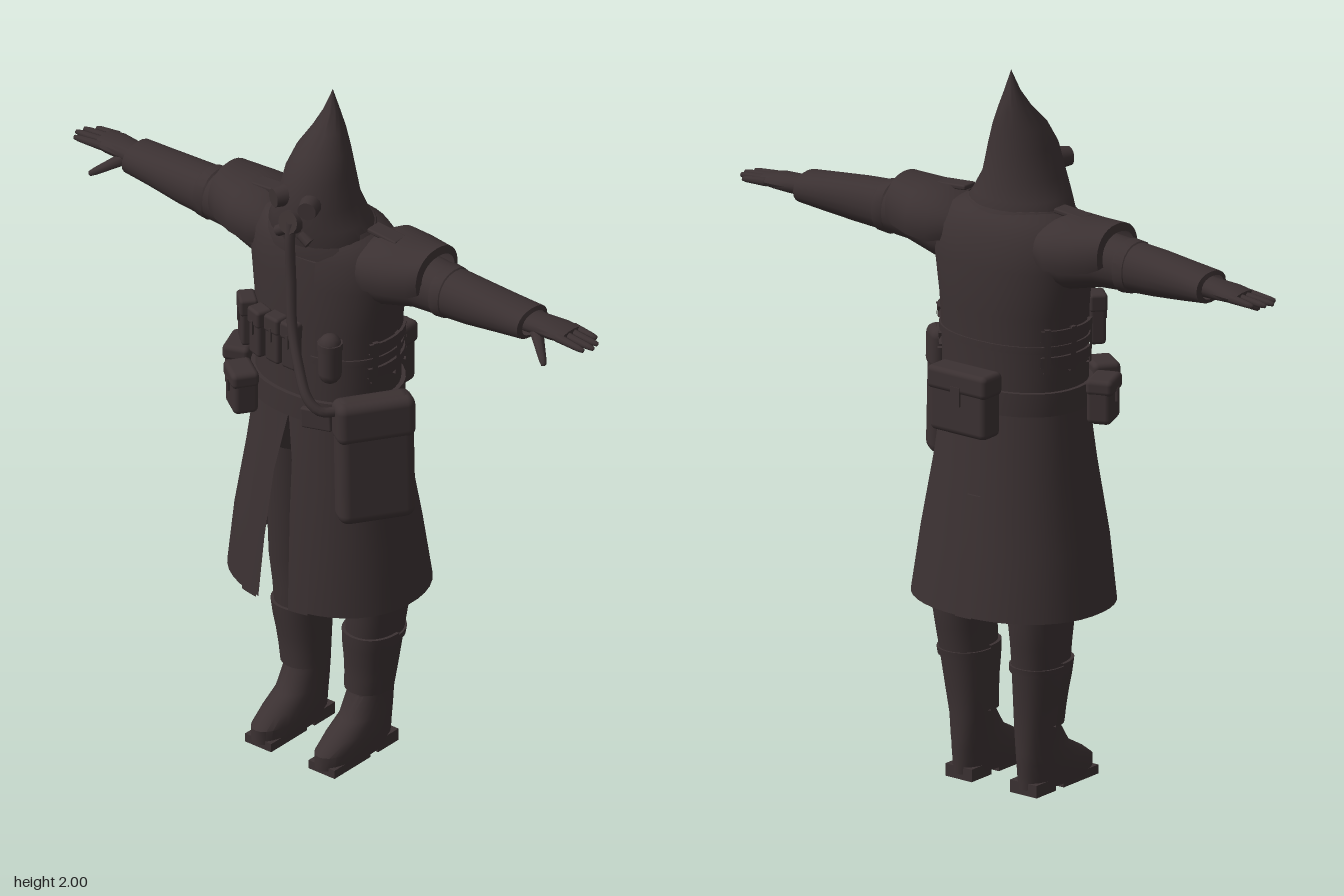
import * as THREE from 'three';
import { toCreasedNormals } from 'three/addons/utils/BufferGeometryUtils.js';
import { RoundedBoxGeometry } from 'three/addons/geometries/RoundedBoxGeometry.js';

const cloth = new THREE.MeshStandardMaterial({ color: 0x3b3132, side: THREE.DoubleSide });
cloth.name = 'dark brown cloth';

function add(parent, name, geo, pos = [0, 0, 0], rot = [0, 0, 0]) {
  const mesh = new THREE.Mesh(geo, cloth);
  mesh.name = name;
  mesh.position.set(...pos);
  mesh.rotation.set(...rot);
  parent.add(mesh);
  return mesh;
}

// Skin over cross-sections. Row: [along, centreA, centreZ, radiusA, radiusZ, front gap angle].
function loft(rows, { axis = 'y', n = 2.2, seg = 28, from = 0, to = Math.PI * 2, crease = 0.7 } = {}) {
  const pos = [], idx = [];
  const pw = v => Math.sign(v) * Math.abs(v) ** (2 / n);
  for (const [t, a, z, ra, rz, gap = 0] of rows) {
    for (let i = 0; i <= seg; i++) {
      const th = from + gap + (to - from - 2 * gap) * i / seg;
      const p = a + ra * pw(Math.sin(th)), q = z + rz * pw(Math.cos(th));
      pos.push(...(axis === 'y' ? [p, t, q] : [t, p, q]));
    }
  }
  for (let j = 0; j < rows.length - 1; j++) {
    for (let i = 0; i < seg; i++) {
      const a = j * (seg + 1) + i, b = a + 1, c = a + seg + 1, d = c + 1;
      idx.push(...(axis === 'y' ? [a, b, d, a, d, c] : [a, d, b, a, c, d]));
    }
  }
  const g = new THREE.BufferGeometry();
  g.setAttribute('position', new THREE.Float32BufferAttribute(pos, 3));
  g.setIndex(idx);
  return toCreasedNormals(g, crease);
}

// Section of a profile at height y, grown by d
function sectionAt(rows, y, d) {
  let k = 0;
  while (k < rows.length - 2 && rows[k + 1][0] < y) k++;
  const [r, s] = [rows[k], rows[k + 1]];
  const f = (y - r[0]) / (s[0] - r[0]);
  const m = i => r[i] + (s[i] - r[i]) * f;
  return [y, m(1), m(2), m(3) + d, m(4) + d];
}

// Raised strip that hugs a profile
function band(rows, y0, y1, from, to, d, seg = 12, steps = 4) {
  const out = [sectionAt(rows, y0, 0)];
  for (let i = 0; i <= steps; i++) out.push(sectionAt(rows, y0 + (y1 - y0) * i / steps, d));
  out.push(sectionAt(rows, y1, 0));
  return loft(out, { from, to, seg });
}

// Tapered rod between two points with a rounded tip
function rod(parent, name, p, q, r0, r1) {
  const a = new THREE.Vector3(...p), b = new THREE.Vector3(...q), L = a.distanceTo(b);
  const pts = [[0, 0], [r0, 0], [r1, L * 0.8], [r1 * 0.7, L * 0.96], [0, L]].map(v => new THREE.Vector2(...v));
  const m = add(parent, name, new THREE.LatheGeometry(pts, 8), p);
  m.quaternion.setFromUnitVectors(new THREE.Vector3(0, 1, 0), b.sub(a).normalize());
}

const coat = [
  [0.52, 0, -0.003, 0.285, 0.238], [0.7, 0, 0.003, 0.262, 0.218], [0.9, 0, 0.005, 0.228, 0.188],
  [1.08, 0, 0.005, 0.205, 0.165], [1.2, 0, 0.003, 0.208, 0.16], [1.35, 0, 0, 0.215, 0.158],
  [1.48, 0, -0.003, 0.232, 0.158], [1.56, 0, 0, 0.225, 0.145], [1.61, 0, 0.005, 0.185, 0.125],
  [1.645, 0, 0.01, 0.1, 0.08], [1.65, 0, 0.01, 0, 0],
];
const leg = [
  [0.012, 0.11, 0.035, 0, 0], [0.015, 0.11, 0.035, 0.053, 0.142], [0.055, 0.11, 0.034, 0.057, 0.142],
  [0.085, 0.11, 0.012, 0.056, 0.122], [0.12, 0.11, -0.02, 0.054, 0.09], [0.18, 0.11, -0.042, 0.055, 0.068],
  [0.26, 0.116, -0.045, 0.062, 0.072], [0.35, 0.122, -0.042, 0.07, 0.085], [0.43, 0.127, -0.047, 0.074, 0.092],
  [0.52, 0.13, -0.05, 0.08, 0.105], [0.9, 0.11, -0.02, 0.09, 0.11],
];

function pouch(parent, name, size, pos, turn) {
  const g = new THREE.Group();
  g.name = name;
  g.position.set(...pos);
  g.rotation.y = turn;
  const [w, h, d] = size;
  add(g, 'pouchBody', new RoundedBoxGeometry(w, h, d, 2, Math.min(w, d) * 0.22));
  add(g, 'pouchFlap', new RoundedBoxGeometry(w * 1.06, h * 0.36, d * 1.1, 2, d * 0.2), [0, h * 0.33, 0.002]);
  add(g, 'pouchTab', new THREE.BoxGeometry(w * 0.16, h * 0.3, 0.008), [0, h * 0.12, d * 0.55]);
  parent.add(g);
}

function buildSide(side) {
  const g = new THREE.Group();
  g.name = side > 0 ? 'leftLimbs' : 'rightLimbs';
  g.scale.x = side;

  // Leg, boot and shin guard
  add(g, 'legAndBoot', loft(leg));
  add(g, 'shinGuard', band(leg, 0.19, 0.375, -1.6, 1.6, 0.009, 16));
  add(g, 'bootCuff', band(leg, 0.345, 0.365, 0, Math.PI * 2, 0.006, 24));
  add(g, 'heel', new THREE.BoxGeometry(0.09, 0.035, 0.085), [0.11, 0.0175, -0.06]);
  add(g, 'sole', new THREE.BoxGeometry(0.09, 0.025, 0.15), [0.11, 0.0125, 0.09]);

  // Sleeve, glove and shoulder pad
  add(g, 'sleeve', loft([
    [0.12, 1.51, -0.005, 0.08, 0.1], [0.22, 1.515, -0.008, 0.085, 0.09], [0.32, 1.53, -0.01, 0.074, 0.075],
    [0.42, 1.53, -0.01, 0.068, 0.068], [0.5, 1.53, -0.012, 0.063, 0.066], [0.6, 1.531, -0.018, 0.053, 0.063],
    [0.685, 1.532, -0.022, 0.043, 0.064], [0.69, 1.532, -0.022, 0.032, 0.048]], { axis: 'x', seg: 20 }));
  add(g, 'sleeveFold', loft([
    [0.385, 1.53, -0.01, 0.066, 0.066], [0.395, 1.53, -0.01, 0.074, 0.072],
    [0.425, 1.53, -0.01, 0.071, 0.07], [0.435, 1.53, -0.01, 0.06, 0.06]], { axis: 'x', seg: 20 }));
  add(g, 'palm', loft([
    [0.66, 1.533, -0.025, 0.028, 0.04], [0.72, 1.533, -0.03, 0.025, 0.042], [0.77, 1.534, -0.033, 0.021, 0.047],
    [0.81, 1.533, -0.036, 0.015, 0.043], [0.815, 1.533, -0.036, 0, 0]], { axis: 'x', seg: 14 }));
  [[-0.07, 0.868], [-0.048, 0.893], [-0.025, 0.9], [-0.002, 0.885]].forEach(([z, x]) =>
    rod(g, 'finger', [0.79, 1.533, z], [x, 1.527, z * 1.1 + 0.004], 0.013, 0.009));
  rod(g, 'thumb', [0.715, 1.52, -0.005], [0.79, 1.47, 0.055], 0.019, 0.011);
  add(g, 'shoulderPad', loft([
    [0.15, 1.54, -0.01, 0.07, 0.105], [0.2, 1.54, -0.014, 0.096, 0.124], [0.27, 1.543, -0.015, 0.092, 0.118],
    [0.33, 1.55, -0.015, 0.088, 0.1], [0.36, 1.56, -0.015, 0.08, 0.088], [0.365, 1.558, -0.015, 0.06, 0.07]],
  { axis: 'x', from: -0.35, to: Math.PI + 0.35, seg: 18 }));
  add(g, 'shoulderTab', new RoundedBoxGeometry(0.1, 0.014, 0.05, 2, 0.005), [0.2, 1.632, 0], [0, 0, -0.08]);

  // Webbing loops on the flank
  for (const y of [1.215, 1.29]) add(g, 'flankStrap', band(coat, y, y + 0.03, 1.15, 2.25, 0.008, 8, 1));
  for (const a of [1.2, 1.65, 2.1]) add(g, 'strapStay', band(coat, 1.2, 1.325, a, a + 0.1, 0.011, 2));

  // Goggle
  add(g, 'goggle', new THREE.CylinderGeometry(0.026, 0.031, 0.04, 14), [0.05, 1.722, 0.146], [Math.PI / 2, 0, -0.4]);
  // Lapel edge beside the coat opening
  add(g, 'lapel', loft([[0.52, 0.16], [0.8, 0.13], [1, 0.1], [1.08, 0.06]].map(([y, a]) =>
    [...sectionAt(coat, y, 0.008), a - 0.12]), { from: 0.12, to: 0.4, seg: 6 }));
  return g;
}

export function createModel() {
  const model = new THREE.Group();
  model.name = 'hoodedSoldier';
  model.add(buildSide(1), buildSide(-1));

  // Coat: closed above, parted at the front below
  add(model, 'coatBody', loft(coat.slice(3), { seg: 36 }));
  const gaps = [0.16, 0.14, 0.12, 0];
  add(model, 'coatSkirt', loft(coat.slice(0, 4).map((r, i) => [...r, gaps[i]]), { seg: 40 }));
  add(model, 'backVent', band(coat, 0.52, 0.85, Math.PI - 0.02, Math.PI + 0.12, 0.007, 3));
  add(model, 'coatPlacket', band(coat, 1.16, 1.56, -0.04, 0.28, 0.007, 6));
  add(model, 'belt', band(coat, 1.08, 1.145, 0, Math.PI * 2, 0.012, 36, 1));
  add(model, 'chestStrap', band(coat, 1.255, 1.275, 0, Math.PI * 2, 0.005, 36, 1));
  add(model, 'buckle', new RoundedBoxGeometry(0.09, 0.06, 0.02, 2, 0.006), [0.1, 1.1, 0.172], [0, 0.25, 0.06]);

  // Pointed hood, collar and breathing mask
  add(model, 'hood', loft([
    [1.555, 0, 0.02, 0.15, 0.125], [1.61, 0, 0.024, 0.16, 0.128], [1.65, 0, 0.034, 0.137, 0.122],
    [1.7, 0, 0.042, 0.112, 0.113], [1.78, 0, 0.038, 0.094, 0.096], [1.84, 0, 0.024, 0.073, 0.075],
    [1.89, 0, 0.002, 0.046, 0.047], [1.94, 0, -0.01, 0.022, 0.023], [2, 0, -0.015, 0, 0]], { n: 2 }));
  add(model, 'collar', loft([
    [1.56, 0, 0.01, 0.19, 0.14], [1.6, 0, 0.015, 0.172, 0.135], [1.63, 0, 0.02, 0.15, 0.12]], { n: 2 }));
  add(model, 'maskSnout', new THREE.CylinderGeometry(0.032, 0.036, 0.05, 14), [0, 1.665, 0.15], [1.3, 0, 0]);
  for (const s of [-1, 1]) {
    add(model, 'maskValve', new THREE.CylinderGeometry(0.016, 0.016, 0.035, 10), [s * 0.04, 1.625, 0.148], [0, 0, s]);
  }
  const path = [[0.005, 1.67, 0.165], [0.006, 1.62, 0.172], [0.015, 1.5, 0.178], [0.035, 1.38, 0.198],
    [0.08, 1.28, 0.225], [0.13, 1.205, 0.246], [0.165, 1.175, 0.235], [0.2, 1.17, 0.19]];
  const curve = new THREE.CatmullRomCurve3(path.map(p => new THREE.Vector3(...p)));
  add(model, 'breathingHose', new THREE.TubeGeometry(curve, 40, 0.014, 10));

  // Large hip bag
  const bag = new THREE.Group();
  bag.name = 'hipBag';
  bag.position.set(0.258, 1.02, 0.123);
  bag.rotation.set(0, 0.98, 0);
  add(bag, 'bagBody', new RoundedBoxGeometry(0.215, 0.365, 0.08, 3, 0.03), [0, 0, 0], [-0.06, 0, 0]);
  add(bag, 'bagFlap', new RoundedBoxGeometry(0.22, 0.12, 0.086, 3, 0.025), [0, 0.12, -0.005], [-0.06, 0, 0]);
  model.add(bag);

  // Chest pouches, canister and belt pouches
  [[-0.168, -0.72], [-0.1, -0.3], [-0.042, -0.1], [0.014, 0]].forEach(([x, turn], i) =>
    pouch(model, 'chestPouch', [i ? 0.052 : 0.065, 0.14, 0.045], [x, 1.298, i ? 0.168 : 0.138], turn));
  add(model, 'canister', new THREE.CapsuleGeometry(0.032, 0.085, 4, 12), [0.135, 1.295, 0.16]);
  add(model, 'canisterCap', new THREE.CylinderGeometry(0.035, 0.035, 0.02, 12), [0.135, 1.335, 0.16]);
  pouch(model, 'frontBeltPouch', [0.095, 0.125, 0.07], [-0.158, 1.105, 0.175], -0.6);
  pouch(model, 'sideBeltPouch', [0.1, 0.125, 0.07], [-0.25, 1.105, 0.065], -1.2);
  pouch(model, 'backPouch', [0.19, 0.18, 0.075], [0, 1.12, -0.215], Math.PI);

  return model;
}
